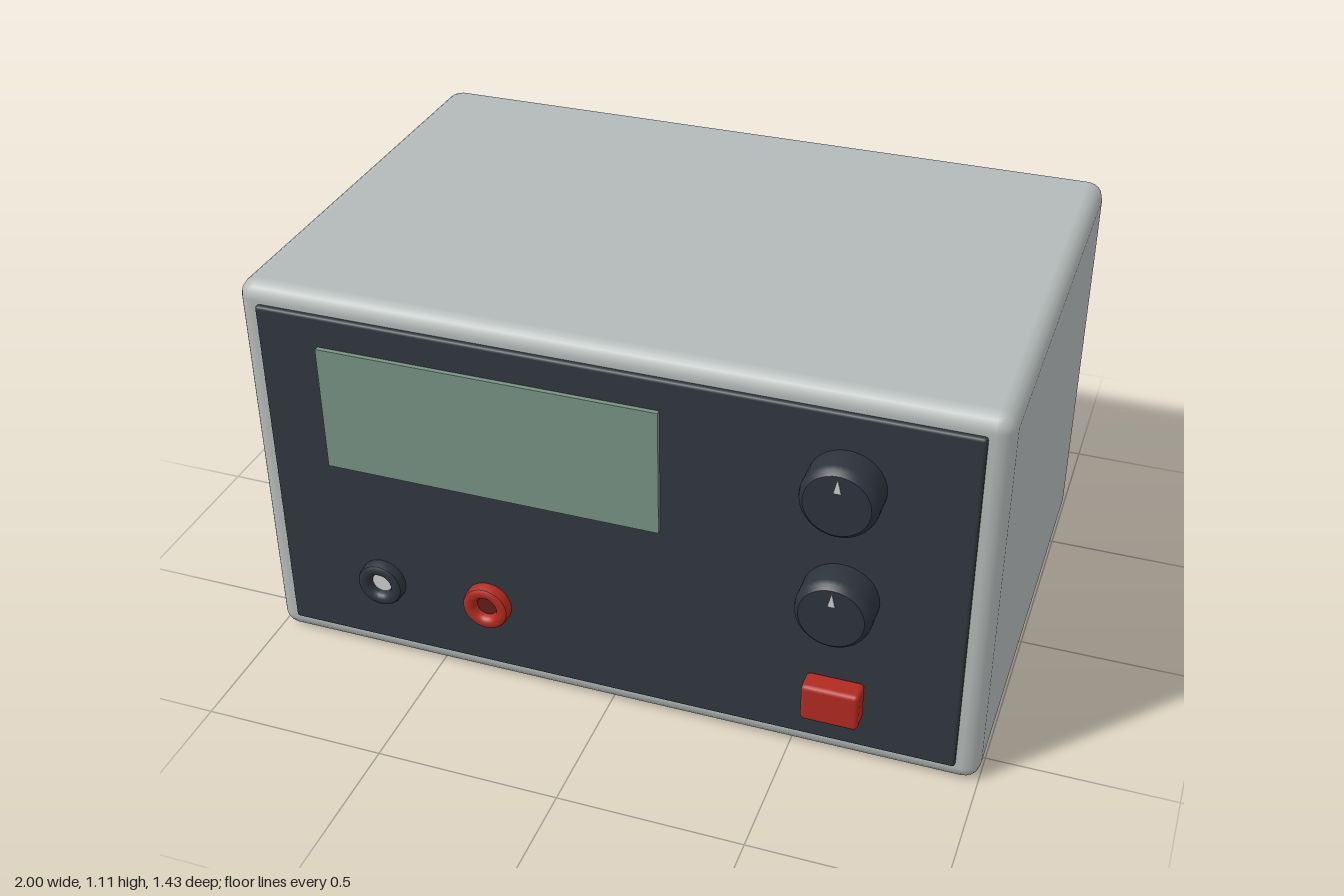
import * as THREE from 'three';
import { RoundedBoxGeometry } from 'three/addons/geometries/RoundedBoxGeometry.js';
import { toCreasedNormals } from 'three/addons/utils/BufferGeometryUtils.js';

const mat = (color) => new THREE.MeshStandardMaterial({ color });
const caseGrey = mat(0xb3b9b8), panelDark = mat(0x30373d), knobDark = mat(0x2c333a);
const screenGreen = mat(0x789184), red = mat(0xb02a20), darkRed = mat(0x651c18), pale = mat(0xd0d4d2);

const PANEL_Z = 0.624;

export function createModel() {
  const model = new THREE.Group();
  model.name = 'benchPowerSupply';

  const add = (name, geometry, material, x, y, z, parent = model) => {
    const mesh = new THREE.Mesh(geometry, material);
    mesh.name = name;
    mesh.position.set(x, y, z);
    parent.add(mesh);
    return mesh;
  };

  // Turned part whose axis points to the front; points are [radius, depth]
  const turned = (points, segments) => {
    const profile = points.map(([r, d]) => new THREE.Vector2(r, d));
    return toCreasedNormals(new THREE.LatheGeometry(profile, segments).rotateX(Math.PI / 2), 0.6);
  };

  // Housing and front panel
  add('housing', new RoundedBoxGeometry(2, 1.11, 1.32, 2, 0.045), caseGrey, 0, 0.555, -0.05);
  add('frontPanel', new RoundedBoxGeometry(1.88, 1, 0.024, 2, 0.008), panelDark, 0, 0.557, PANEL_Z - 0.012);

  // Display window
  add('display', new THREE.BoxGeometry(0.92, 0.355, 0.014), screenGreen, -0.31, 0.793, 0.63);

  // Two control knobs, each with a pointer
  const knobShape = turned([[0.099, 0], [0.099, 0.066], [0.095, 0.08], [0.084, 0.091], [0, 0.091]], 40);
  const pointer = new THREE.Shape([[-0.009, 0.037], [0.009, 0.037], [0, 0.075]].map(p => new THREE.Vector2(...p)));
  const pointerShape = new THREE.ExtrudeGeometry(pointer, { depth: 0.003, bevelEnabled: false });
  for (const [name, y] of [['upperKnob', 0.86], ['lowerKnob', 0.527]]) {
    const knob = new THREE.Group();
    knob.name = name;
    knob.position.set(0.62, y, PANEL_Z);
    add('knobBody', knobShape, knobDark, 0, 0, 0, knob);
    add('knobPointer', pointerShape, pale, 0, 0, 0.09, knob);
    model.add(knob);
  }

  // Output terminals: a rounded collar around a recessed socket
  const collar = turned([[0.065, 0], [0.065, 0.022], [0.062, 0.029], [0.054, 0.034],
    [0.043, 0.034], [0.034, 0.028], [0.03, 0.02], [0.028, 0]], 32);
  const socket = new THREE.CylinderGeometry(0.029, 0.029, 0.012, 24).rotateX(Math.PI / 2);
  for (const [name, x, ring, core] of [
    ['negativeTerminal', -0.648, knobDark, pale],
    ['positiveTerminal', -0.338, red, darkRed],
  ]) {
    const terminal = new THREE.Group();
    terminal.name = name;
    terminal.position.set(x, 0.26, PANEL_Z);
    add('collar', collar, ring, 0, 0, 0, terminal);
    add('socket', socket, core, 0, 0, 0.006, terminal);
    model.add(terminal);
  }

  // Power switch
  add('powerSwitch', new RoundedBoxGeometry(0.152, 0.11, 0.066, 2, 0.012), red, 0.62, 0.215, 0.655);

  return model;
}
